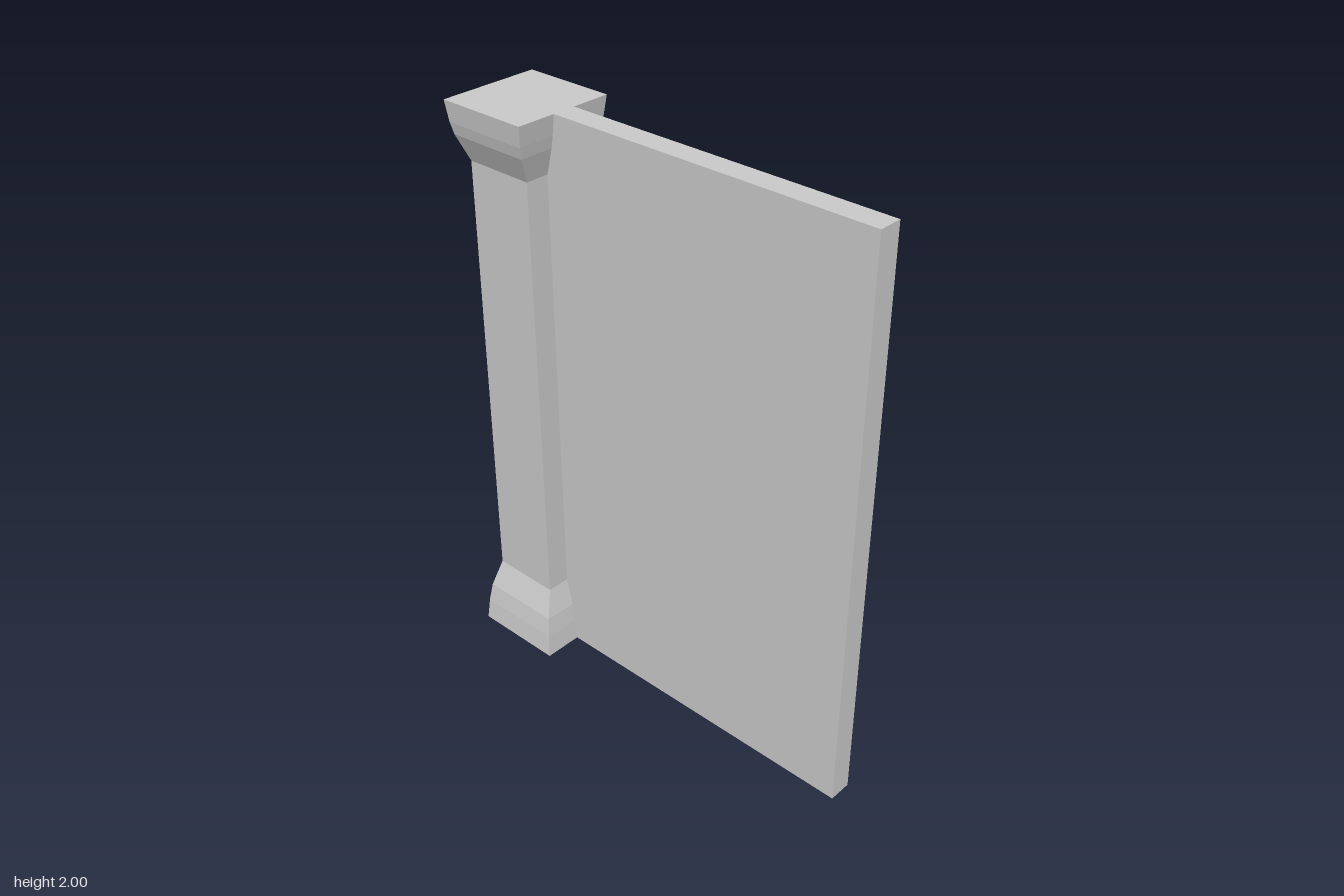
import * as THREE from 'three';

const material = new THREE.MeshStandardMaterial({ color: 0xcccccc, flatShading: true });

// Stack of rectangular sections [y, halfX, halfZ], closed at both ends.
function loftRectangles(sections) {
  const corners = [[-1, 1], [1, 1], [1, -1], [-1, -1]];
  const rings = sections.map(([y, hx, hz]) => corners.map(([sx, sz]) => [sx * hx, y, sz * hz]));
  const positions = [];
  const quad = (a, b, c, d) => positions.push(...a, ...b, ...c, ...a, ...c, ...d);
  for (let i = 0; i < rings.length - 1; i++) {
    for (let k = 0; k < 4; k++) {
      const n = (k + 1) % 4;
      quad(rings[i][k], rings[i][n], rings[i + 1][n], rings[i + 1][k]);
    }
  }
  const [a, b, c, d] = rings[0];
  quad(d, c, b, a);
  quad(...rings[rings.length - 1]);
  const geometry = new THREE.BufferGeometry();
  geometry.setAttribute('position', new THREE.Float32BufferAttribute(positions, 3));
  geometry.computeVertexNormals();
  return geometry;
}

export function createModel() {
  const model = new THREE.Group();
  model.name = 'wallWithPillar';

  // Square pillar: flared base, straight shaft, flared capital
  const pillar = new THREE.Mesh(loftRectangles([
    [0, 0.18, 0.165],
    [0.08, 0.172, 0.158],
    [0.15, 0.16, 0.149],
    [0.25, 0.125, 0.125],
    [1.8, 0.125, 0.125],
    [1.89, 0.163, 0.149],
    [1.93, 0.172, 0.156],
    [2, 0.18, 0.165],
  ]), material);
  pillar.name = 'pillar';
  pillar.position.z = -0.584;
  model.add(pillar);

  // Thin wall panel running forward from the pillar
  const back = -0.47, front = 0.75;
  const wall = new THREE.Mesh(new THREE.BoxGeometry(0.082, 2, front - back), material);
  wall.name = 'wallPanel';
  wall.position.set(0, 1, (front + back) / 2);
  model.add(wall);

  return model;
}
